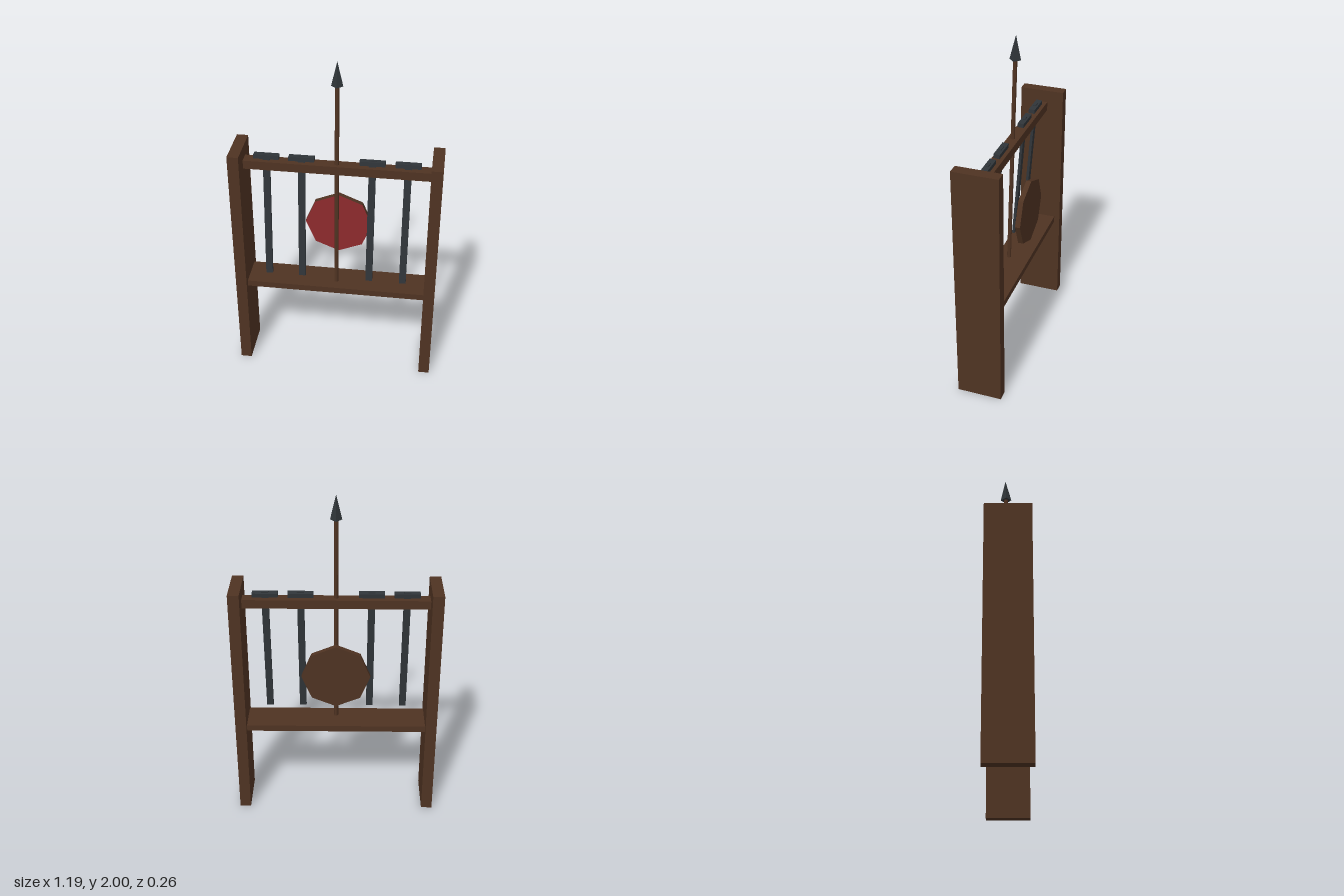
import * as THREE from 'three';

export function createModel() {
  const model = new THREE.Group();
  model.name = 'weaponRack';

  const mat = (name, color) => {
    const m = new THREE.MeshStandardMaterial({ color, flatShading: true });
    m.name = name;
    return m;
  };
  const wood = mat('wood', 0x4f3322);
  const metal = mat('darkMetal', 0x303539);
  const red = mat('redPaint', 0x8e2a2d);

  const add = (parent, name, geometry, material, x, y, z) => {
    const mesh = new THREE.Mesh(geometry, material);
    mesh.name = name;
    mesh.position.set(x, y, z);
    parent.add(mesh);
    return mesh;
  };
  const box = (w, h, d) => new THREE.BoxGeometry(w, h, d);

  // Frame: two side boards, a top rail and a lower shelf
  add(model, 'leftPost', box(0.065, 1.46, 0.264), wood, 0.563, 0.73, 0);
  add(model, 'rightPost', box(0.065, 1.46, 0.264), wood, -0.563, 0.73, 0);
  add(model, 'topRail', box(1.064, 0.052, 0.068), wood, 0, 1.36, -0.001);
  add(model, 'lowerShelf', box(1.064, 0.038, 0.196), wood, 0, 0.565, 0);

  // Four swords hanging from the rail, leaning slightly forward at the tip
  for (const x of [-0.4, -0.2, 0.2, 0.4]) {
    const sword = new THREE.Group();
    sword.name = 'sword';
    sword.position.set(x, 1.408, 0);
    sword.rotation.x = -0.08;
    add(sword, 'blade', box(0.04, 0.792, 0.016), metal, 0, -0.378, 0);
    add(sword, 'crossguard', box(0.145, 0.025, 0.036), metal, 0, 0, -0.001);
    model.add(sword);
  }

  // Spear leaning back through the rail
  const spear = new THREE.Group();
  spear.name = 'spear';
  spear.position.set(0, 0.58, 0.026);
  spear.rotation.x = -0.03;
  add(spear, 'shaft', new THREE.CylinderGeometry(0.0125, 0.0125, 1.29, 8), wood, 0, 0.645, 0);
  add(spear, 'spearhead', new THREE.ConeGeometry(0.033, 0.14, 4), metal, 0, 1.35, 0);
  model.add(spear);

  // Octagonal shield: wooden rim and back, red front face
  const shield = add(model, 'shield', new THREE.CylinderGeometry(0.198, 0.198, 0.03, 8),
    [wood, red, wood], 0, 0.932, -0.095);
  shield.rotation.x = Math.PI / 2;

  return model;
}
